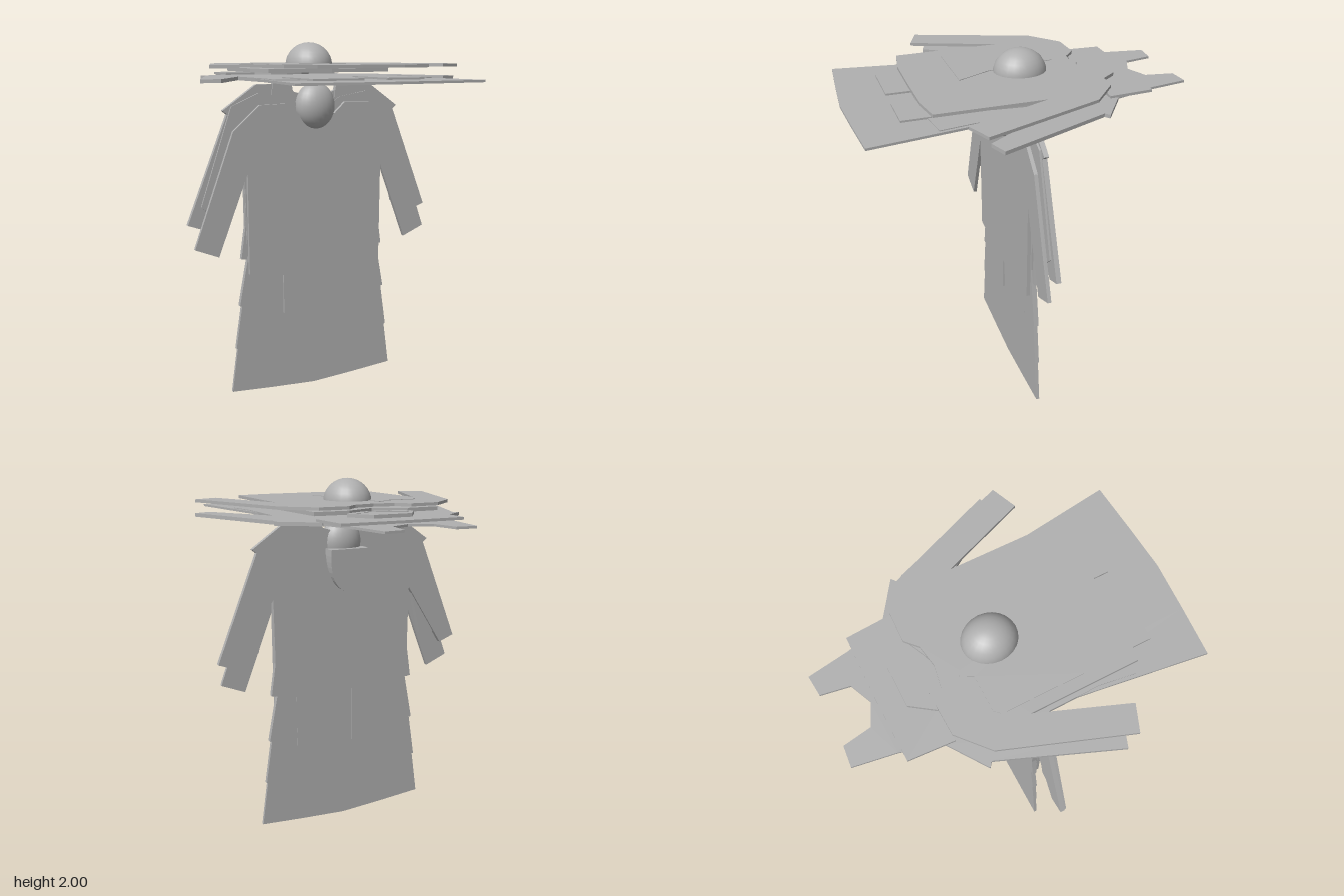
import * as THREE from 'three';

const cloth = new THREE.MeshStandardMaterial({ color: 0xb0b0b0 });
cloth.name = 'grey cloth';

// Half outlines (x >= 0), from top centre round to bottom centre; mirrored by outline().
const SHIRT = [[0, 1.59], [0.115, 1.61], [0.18, 1.67], [0.345, 1.665], [0.5, 1.53], [0.73, 0.905],
  [0.595, 0.85], [0.42, 1.3], [0.417, 0.73], [0.25, 0.702], [0, 0.7]];
const COAT = [[0, 1.7], [0.12, 1.73], [0.2, 1.775], [0.35, 1.775], [0.545, 1.64], [0.52, 1.62], [0.755, 1.035],
  [0.66, 1.0], [0.43, 1.36], [0.425, 1.0], [0.452, 0.815], [0.25, 0.79], [0, 0.79]];
const UNDERSHIRT = [[0, 1.6], [0.16, 1.7], [0.34, 1.73], [0.5, 1.66], [0.68, 1.13], [0.6, 1.06],
  [0.52, 1.07], [0.43, 1.42], [0.42, 0.9], [0, 0.88]];
const COLLAR = [[0, 0.665], [0.345, 0.66], [0.36, 0.42], [0.18, 0.42], [0.1, 0.36], [0, 0.35]];
const VEST = [[0, 0.33], [0.17, 0.41], [0.36, 0.4], [0.38, 0], [0.36, -0.2], [0, -0.22]];

// Strapped dress with a chosen hem
const dress = (hemX, hemY, dip) => [[0, 1.58], [0.115, 1.63], [0.14, 1.78], [0.25, 1.79], [0.285, 1.57],
  [0.36, 1.3], [0.4, 0.9], [hemX, hemY], [hemX * 0.5, hemY - dip * 0.55], [0, hemY - dip]];

function outline(half) {
  const left = half.filter(([x]) => x > 0).map(([x, y]) => [-x, y]).reverse();
  return new THREE.Shape([...half, ...left].map(([x, y]) => new THREE.Vector2(x, y)));
}

function plate(name, shape, from, to) {
  const geo = new THREE.ExtrudeGeometry(shape, { depth: to - from, bevelEnabled: false });
  geo.translate(0, 0, from);
  const mesh = new THREE.Mesh(geo, cloth);
  mesh.name = name;
  return mesh;
}

function ellipsoid(name, rx, ry, rz, x, y, z) {
  const mesh = new THREE.Mesh(new THREE.SphereGeometry(1, 24, 16), cloth);
  mesh.name = name;
  mesh.scale.set(rx, ry, rz);
  mesh.position.set(x, y, z);
  return mesh;
}

const rect = (x0, y0, x1, y1) => new THREE.Shape([[x0, y0], [x1, y0], [x1, y1], [x0, y1]]
  .map(([x, y]) => new THREE.Vector2(x, y)));

function uprightOutfit() {
  const g = new THREE.Group();
  g.name = 'uprightOutfit';
  g.add(plate('shirt', outline(SHIRT), 0.018, 0.038));
  g.add(plate('coat', outline(COAT), -0.022, 0.004));
  g.add(plate('undershirt', outline(UNDERSHIRT), -0.01, 0.014));

  // Dresses of three lengths, giving a tiered skirt
  [[0.52, 0.04, 0.035], [0.493, 0.295, 0.02], [0.468, 0.545, 0.02]].forEach(([x, y, dip], i) =>
    g.add(plate('dress' + (i + 1), outline(dress(x, y, dip)), -0.012 - i * 0.003, 0.006 + i * 0.002)));

  // Trouser legs
  g.add(plate('rightTrouserLeg', rect(-0.2, 0.47, -0.05, 0.9), -0.022, 0.022));
  g.add(plate('leftTrouserLeg', rect(0.08, 0.48, 0.3, 0.9), -0.019, 0.009));

  // Head with a flared fall of hair behind it
  g.add(ellipsoid('head', 0.118, 0.13, 0.085, 0, 1.652, 0.017));
  const fall = new THREE.Shape();
  fall.moveTo(-0.115, 1.62);
  fall.quadraticCurveTo(-0.13, 1.39, 0, 1.385);
  fall.quadraticCurveTo(0.13, 1.39, 0.115, 1.62);
  const hair = plate('hair', fall, -0.085, -0.02);
  const p = hair.geometry.attributes.position;
  for (let i = 0; i < p.count; i++) {
    const t = (1.62 - p.getY(i)) / 0.235;
    // front face slopes back toward the tip
    if (p.getZ(i) > -0.05) p.setZ(i, -0.02 - 0.062 * t);
    else p.setZ(i, -0.098);
  }
  hair.geometry.computeVertexNormals();
  g.add(hair);
  return g;
}

function lyingOutfit() {
  const g = new THREE.Group();
  g.name = 'lyingOutfit';
  const lay = (name, shape, from, to, shift = 0) => {
    const mesh = plate(name, shape, from, to);
    mesh.geometry.translate(0, -shift, 0);
    mesh.geometry.rotateX(-Math.PI / 2);
    g.add(mesh);
  };
  lay('longDress', outline(dress(0.52, 0.04, 0.035)), 1.8, 1.812, 0.89);
  lay('coat', outline(COAT), 1.797, 1.816, 1.305);
  lay('collar', outline(COLLAR), 1.814, 1.828);
  lay('vest', outline(VEST), 1.84, 1.86);
  lay('shirt', outline(SHIRT), 1.868, 1.884, 1.24);

  // Trouser legs
  lay('leftTrouserLeg', rect(0.08, -0.645, 0.3, -0.3), 1.812, 1.822);
  lay('rightTrouserLeg', rect(-0.33, -0.645, -0.05, -0.3), 1.812, 1.822);

  // Open neck ring
  const ring = outline([[0, 0.55], [0.11, 0.55], [0.195, 0.43], [0.12, 0.37], [0, 0.355]]);
  ring.holes.push(outline([[0, 0.53], [0.095, 0.53], [0.165, 0.435], [0.1, 0.43], [0.07, 0.39], [0, 0.385]]));
  lay('neckRing', ring, 1.83, 1.848);

  // Loose panel on the chest
  const panel = new THREE.Shape([[-0.36, -0.25], [-0.32, -0.28], [0.05, -0.28], [-0.03, -0.1], [-0.08, 0.27],
    [-0.11, 0.27], [-0.14, 0.21], [-0.33, 0.21], [-0.36, 0.18]].map(([x, y]) => new THREE.Vector2(x, y)));
  lay('chestPanel', panel, 1.882, 1.887);

  // Domed head
  const dome = new THREE.Mesh(new THREE.SphereGeometry(1, 24, 8, 0, Math.PI * 2, 0, Math.PI / 2), cloth);
  dome.name = 'domedHead';
  dome.scale.set(0.128, 0.125, 0.142);
  dome.position.set(0, 1.875, -0.06);
  g.add(dome);
  return g;
}

export function createModel() {
  const model = new THREE.Group();
  model.name = 'layeredOutfits';
  model.add(uprightOutfit(), lyingOutfit());
  return model;
}
